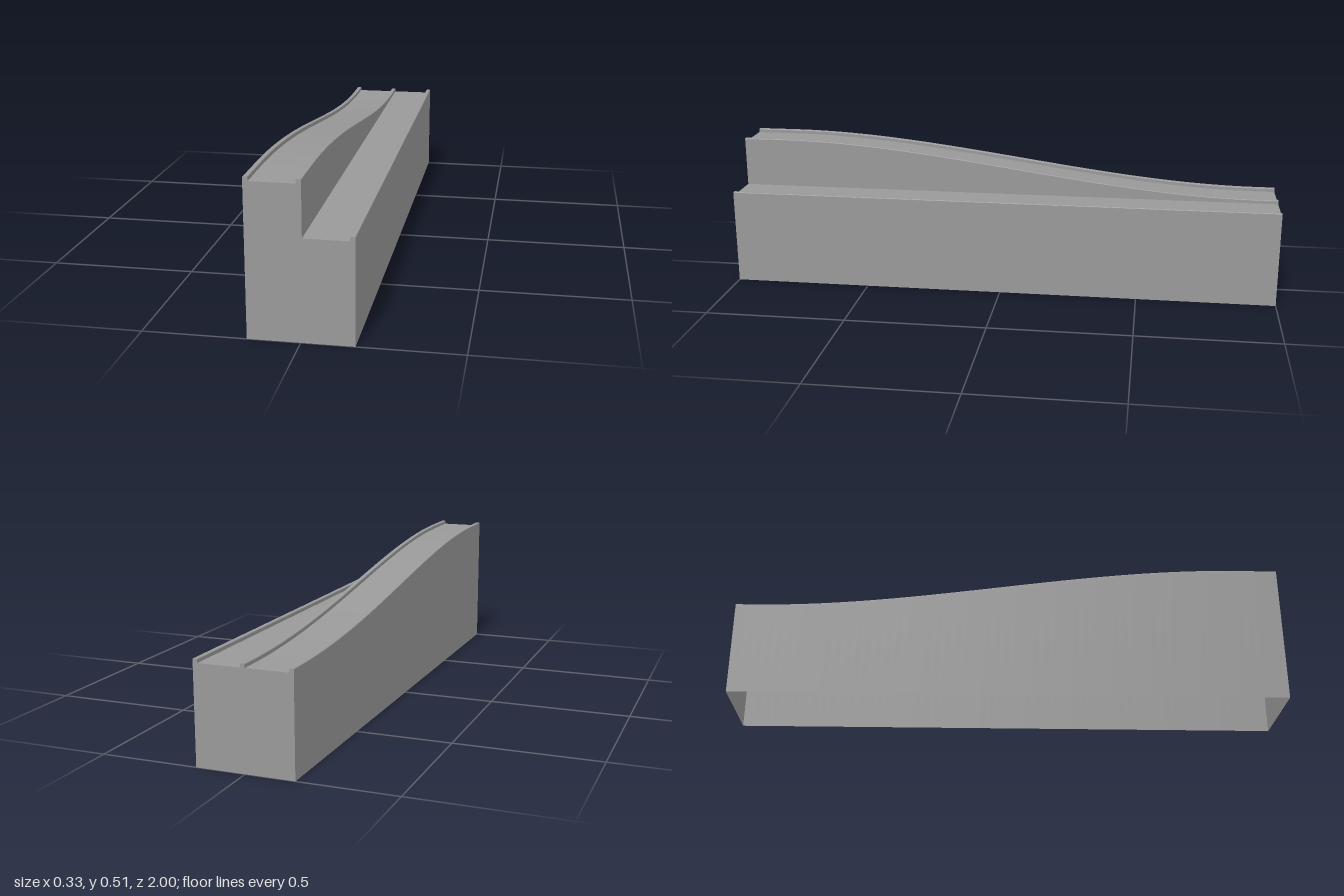
import * as THREE from 'three';

const LOW = 0.333, HIGH = 0.5, LIP = 0.0135; // deck heights and kerb height
const HALF = 0.167, KERB = 0.016, MID = 0.008; // half width, kerb width, edge of the ramp
const ROUND = 0.003, ROUND_STEPS = 4; // rounded kerb corners
const RAMP_START = -0.93, RAMP_END = 0.85, STEPS = 56;

// Deck height of the ramp at a given z: level ends with a smooth S between
const rampHeight = (z) => LOW + (HIGH - LOW) * THREE.MathUtils.smoothstep(z, RAMP_START, RAMP_END);

// Kerb outline from its +x side over the rounded top to its -x side
function kerb(x, deck, leftFoot, rightFoot) {
  const points = [[x, leftFoot]];
  for (const [cx, from] of [[x - ROUND, 0], [x - KERB + ROUND, Math.PI / 2]]) {
    for (let i = 0; i <= ROUND_STEPS; i++) {
      const a = from + (i / ROUND_STEPS) * (Math.PI / 2);
      points.push([cx + ROUND * Math.cos(a), deck + LIP - ROUND + ROUND * Math.sin(a)]);
    }
  }
  points.push([x - KERB, rightFoot]);
  return points;
}

// Cross-section at z, part by part from the +x wall over the top to the -x wall
function section(z) {
  const h = rampHeight(z);
  return {
    leftWall: [[HALF, 0], [HALF, LOW]],
    leftKerb: kerb(HALF, LOW, LOW, LOW),
    levelDeck: [[HALF - KERB, LOW], [MID, LOW]],
    stepWall: [[MID, LOW], [MID, h]],
    middleKerb: kerb(MID, h, h, h),
    rampDeck: [[MID - KERB, h], [-HALF + KERB, h]],
    rightKerb: kerb(-HALF + KERB, h, h, h),
    rightWall: [[-HALF, h], [-HALF, 0]],
  };
}

// Sweep one part from front to back, crisp across its edges and smooth along its length
function sweepGeometry(name) {
  const positions = [], index = [];
  const rows = Array.from({ length: STEPS + 1 }, (_, i) => {
    const z = 1 - (2 * i) / STEPS;
    return section(z)[name].map(([x, y]) => [x, y, z]);
  });
  for (let edge = 0; edge < rows[0].length - 1; edge++) {
    rows.forEach((row, i) => {
      const a = positions.length / 3;
      positions.push(...row[edge], ...row[edge + 1]);
      if (i < STEPS) index.push(a, a + 2, a + 3, a, a + 3, a + 1);
    });
  }
  const geometry = new THREE.BufferGeometry();
  geometry.setAttribute('position', new THREE.Float32BufferAttribute(positions, 3));
  geometry.setIndex(index);
  geometry.computeVertexNormals();
  return geometry;
}

// Flat panel filling the cross-section; side is 1 for the front, -1 for the back
function endGeometry(side) {
  const outline = Object.values(section(side)).flat()
    .map(([x, y]) => new THREE.Vector2(side * x, y))
    .filter((p, i, all) => i === 0 || p.distanceTo(all[i - 1]) > 1e-6);
  const geometry = new THREE.ShapeGeometry(new THREE.Shape(outline));
  if (side < 0) geometry.rotateY(Math.PI);
  return geometry.translate(0, 0, side);
}

export function createModel() {
  const group = new THREE.Group();
  group.name = 'rampBlock';
  // The block is a thin shell, open underneath
  const material = new THREE.MeshStandardMaterial({ color: 0x999999, side: THREE.DoubleSide });
  const add = (name, geometry) => {
    const mesh = new THREE.Mesh(geometry, material);
    mesh.name = name;
    group.add(mesh);
  };

  for (const name of Object.keys(section(0))) add(name, sweepGeometry(name));
  add('frontPanel', endGeometry(1));
  add('backPanel', endGeometry(-1));
  return group;
}
